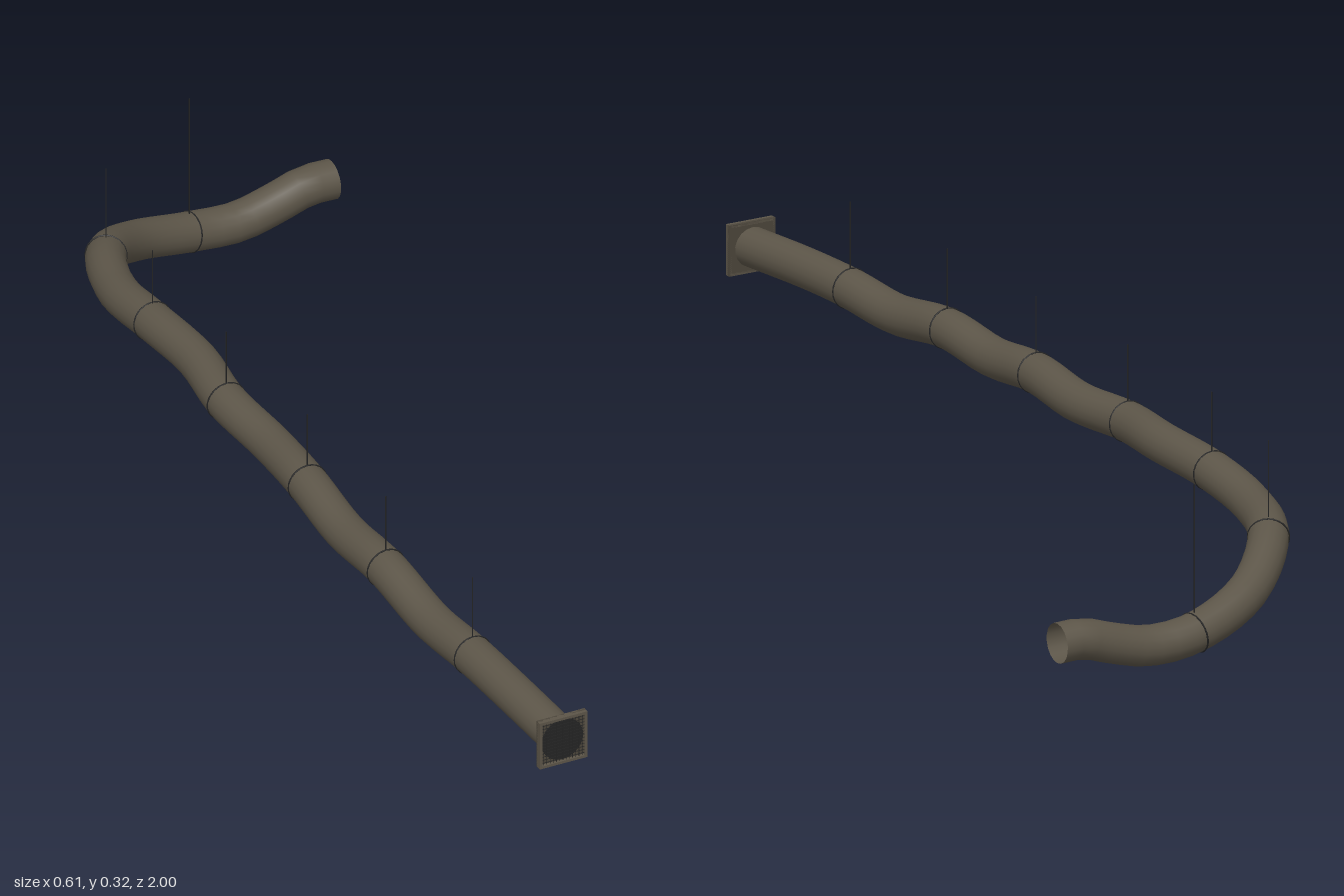
import * as THREE from 'three';

export function createModel() {
  const model = new THREE.Group();
  const duct = new THREE.MeshStandardMaterial({ name: 'ductMetal', color: 0x5c5548, side: THREE.DoubleSide });
  const frameMat = new THREE.MeshStandardMaterial({ name: 'frameMetal', color: 0x4c463b });
  const dark = new THREE.MeshStandardMaterial({ name: 'darkMetal', color: 0x242424 });
  const R = 0.0365, WIRE_TOP = 0.318;

  const add = (name, geometry, material, x = 0, y = 0, z = 0, parent = model) => {
    const mesh = new THREE.Mesh(geometry, material);
    mesh.name = name;
    mesh.position.set(x, y, z);
    parent.add(mesh);
    return mesh;
  };

  // Centre line; a fourth value of 1 marks a joint with a band and a hanger
  const path = [
    [-0.238, 0.15, 0.99], [-0.249, 0.157, 0.82], [-0.256, 0.158, 0.685, 1], [-0.263, 0.151, 0.54],
    [-0.269, 0.171, 0.375, 1], [-0.271, 0.162, 0.22], [-0.268, 0.177, 0.07, 1], [-0.26, 0.17, -0.09],
    [-0.27, 0.176, -0.24, 1], [-0.256, 0.18, -0.38], [-0.262, 0.173, -0.54, 1], [-0.258, 0.155, -0.68],
    [-0.211, 0.14, -0.82, 1], [-0.105, 0.084, -0.922], [0.025, 0.044, -0.962, 1],
    [0.12, 0.037, -0.964], [0.19, 0.053, -0.964], [0.255, 0.073, -0.964], [0.306, 0.073, -0.964],
  ];
  const curve = new THREE.CatmullRomCurve3(path.map(([x, y, z]) => new THREE.Vector3(x, y, z)), false, 'centripetal');

  // Flexible duct, open at the far end
  add('duct', new THREE.TubeGeometry(curve, 72, R, 18, false), duct);

  // Joint bands and hanger wires
  const bandGeo = new THREE.TorusGeometry(R, 0.0016, 6, 24);
  path.forEach(([x, y, z, joint], i) => {
    if (!joint) return;
    const hanger = new THREE.Group();
    hanger.name = 'hanger';
    model.add(hanger);
    const band = add('jointBand', bandGeo, dark, x, y, z, hanger);
    const tangent = curve.getTangent(i / (path.length - 1));
    band.quaternion.setFromUnitVectors(new THREE.Vector3(0, 0, 1), tangent);
    const base = y + R - 0.002;
    add('hangerWire', new THREE.CylinderGeometry(0.0012, 0.0012, WIRE_TOP - base, 6), dark,
      x, (WIRE_TOP + base) / 2, z, hanger);
  });

  // Square vent at the front
  const vent = new THREE.Group();
  vent.name = 'vent';
  vent.position.set(-0.237, 0.15, 0);
  model.add(vent);
  const H = 0.047, rim = 0.005;
  add('ventPlate', new THREE.BoxGeometry(2 * H, 2 * H, 0.006), frameMat, 0, 0, 0.991, vent);
  for (const s of [-1, 1]) {
    add('ventRimSide', new THREE.BoxGeometry(rim, 2 * H, 0.012), duct, s * (H - rim / 2), 0, 0.994, vent);
    add('ventRimEdge', new THREE.BoxGeometry(2 * (H - rim), rim, 0.012), duct, 0, s * (H - rim / 2), 0.994, vent);
  }
  add('ventOpening', new THREE.CylinderGeometry(0.041, 0.041, 0.002, 20), dark, 0, 0, 0.9945, vent).rotation.x = Math.PI / 2;

  // Fine wire grille over the opening
  for (let i = -6; i <= 6; i++) {
    const p = i * 0.0063;
    add('grilleUpright', new THREE.BoxGeometry(0.0008, 0.084, 0.001), dark, p, 0, 0.997, vent);
    add('grilleCrossbar', new THREE.BoxGeometry(0.084, 0.0008, 0.001), dark, 0, p, 0.997, vent);
  }
  return model;
}
